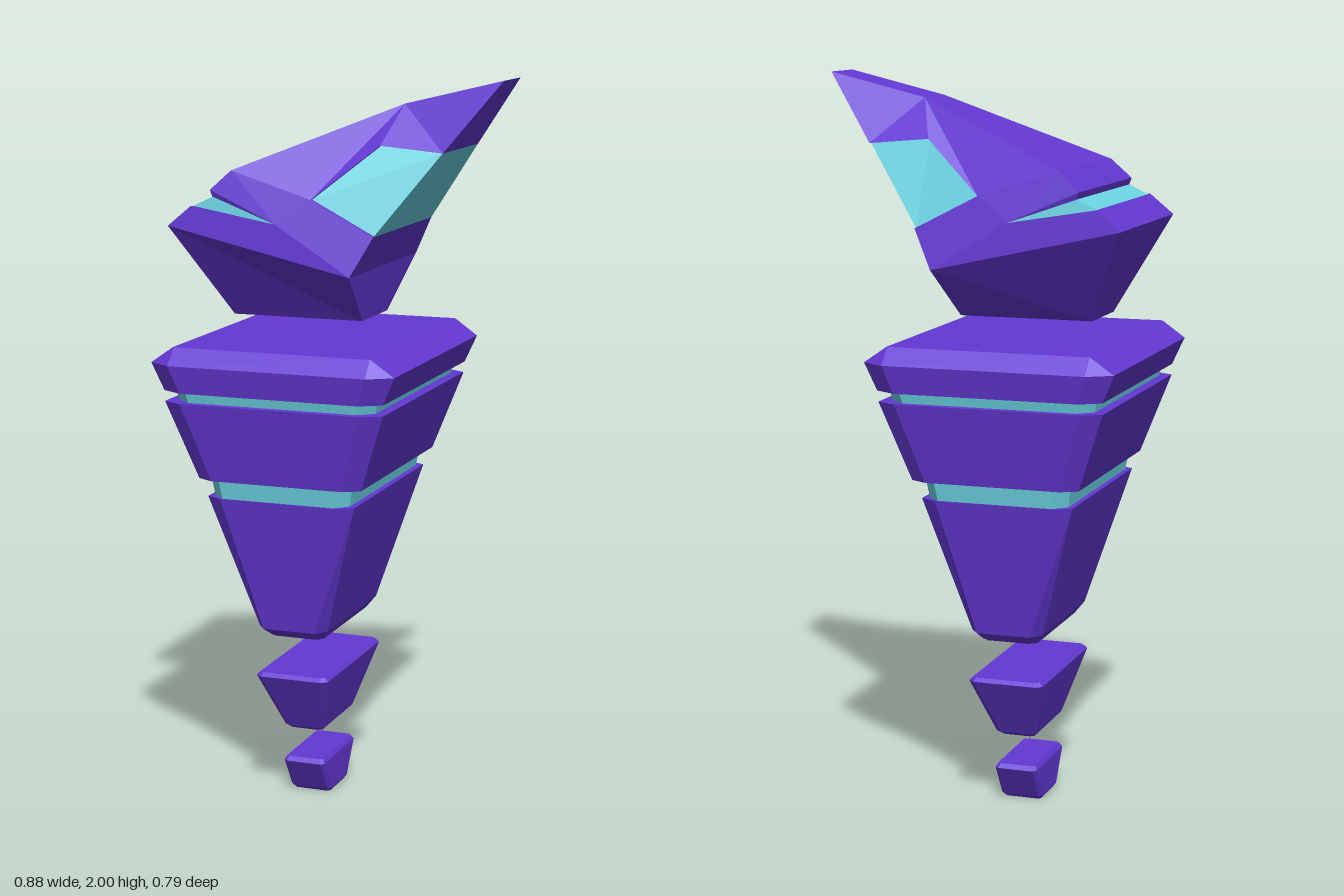
import * as THREE from 'three';

const purple = new THREE.MeshStandardMaterial({ color: 0x6438d4 });
purple.name = 'purple armour';
const teal = new THREE.MeshStandardMaterial({ color: 0x6cd6e4 });
teal.name = 'teal glow';

// Flat-shaded mesh from convex polygons given as point loops
function facets(name, material, polygons) {
  const pos = [];
  for (const p of polygons)
    for (let i = 1; i < p.length - 1; i++) pos.push(...p[0], ...p[i], ...p[i + 1]);
  const geometry = new THREE.BufferGeometry();
  geometry.setAttribute('position', new THREE.Float32BufferAttribute(pos, 3));
  geometry.computeVertexNormals();
  const mesh = new THREE.Mesh(geometry, material);
  mesh.name = name;
  return mesh;
}

// Rectangle with cut corners at height y
function ring([y, x0, x1, z, cx, cz]) {
  return [
    [x1 - cx, y, z], [x1, y, z - cz], [x1, y, cz - z], [x1 - cx, y, -z],
    [x0 + cx, y, -z], [x0, y, cz - z], [x0, y, z - cz], [x0 + cx, y, z],
  ];
}

// Closed solid through a stack of rings, lowest first
function loft(name, material, rows) {
  const rings = rows.map(ring);
  const faces = [[...rings[0]].reverse(), rings[rings.length - 1]];
  for (let k = 0; k < rings.length - 1; k++) {
    const a = rings[k], b = rings[k + 1];
    for (let i = 0; i < 8; i++) {
      const j = (i + 1) % 8;
      faces.push([a[i], a[j], b[j], b[i]]);
    }
  }
  return facets(name, material, faces);
}

const flip = ([x, y, z]) => [x, y, -z];
const mirrored = (faces) => [...faces, ...faces.map((f) => f.map(flip).reverse())];
// Strip spanning both sides between two profile points
const span = (p, q) => [p, flip(p), flip(q), q];

function createHead() {
  const head = new THREE.Group();
  head.name = 'head';

  // Jaw
  const jawFront = [-0.31, 1.355, 0.1], jawBack = [0.06, 1.355, 0.1];
  const chin = [-0.43, 1.61, 0.268], nape = [0.085, 1.495, 0.27];
  // Eye slit
  const lip = [-0.365, 1.665, 0.262], slitEnd = [-0.125, 1.625, 0.262];
  const eyeLow = [-0.365, 1.663, 0.245], eyeHigh = [-0.31, 1.69, 0.245];
  // Brow and swept-back crest
  const browLow = [-0.315, 1.708, 0.25], brow = [-0.26, 1.76, 0.235];
  const crown = [0.17, 1.935, 0.075], tip = [0.44, 2.0, 0.075];
  // Cheek opening
  const cheek = [[-0.035, 1.69, 0.235], [0.14, 1.6, 0.238], [0.3, 1.815, 0.152], [0.13, 1.83, 0.157]];
  const [c0, c1, c2, c3] = cheek;
  const inset = cheek.map(([x, y, z]) => [x, y, z - 0.012]);

  const side = [
    [chin, jawFront, jawBack, nape],
    [chin, nape, slitEnd], [chin, slitEnd, lip],
    [nape, c1, c0], [nape, c0, slitEnd],
    [slitEnd, c0, brow], [slitEnd, brow, browLow],
    [c0, c3, crown], [c0, crown, brow],
    [c3, c2, crown], [c2, tip, crown],
    [lip, slitEnd, eyeLow], [browLow, eyeHigh, slitEnd],
  ];
  // Rims of the cheek opening
  for (const [i, j] of [[0, 1], [2, 3], [3, 0]])
    side.push([cheek[i], cheek[j], inset[j], inset[i]]);

  head.add(facets('helmet', purple, [
    ...mirrored(side),
    span(jawFront, jawBack), span(jawBack, nape), span(nape, c1),
    span(c2, tip), span(tip, crown), span(crown, brow), span(brow, browLow),
    span(browLow, eyeHigh), span(lip, chin), span(chin, jawFront),
  ]));
  head.add(facets('visor', teal, [
    ...mirrored([[eyeLow, slitEnd, eyeHigh]]), span(eyeHigh, eyeLow),
  ]));
  head.add(facets('neckGlow', teal, [...mirrored([inset]), span(c1, c2)]));
  return head;
}

export function createModel() {
  const model = new THREE.Group();
  model.name = 'floatingGuardian';

  // Rows: height, min x, max x, half depth, corner cut in x, corner cut in z
  model.add(
    loft('tailTip', purple, [
      [0, -0.158, -0.052, 0.06, 0.008, 0.008],
      [0.01, -0.165, -0.045, 0.07, 0.01, 0.01],
      [0.1, -0.165, -0.045, 0.127, 0.01, 0.01],
      [0.112, -0.158, -0.052, 0.118, 0.008, 0.008],
    ]),
    loft('tailSegment', purple, [
      [0.195, -0.153, -0.057, 0.11, 0.01, 0.01],
      [0.205, -0.163, -0.047, 0.125, 0.015, 0.012],
      [0.37, -0.21, 0, 0.222, 0.018, 0.015],
      [0.38, -0.2, -0.01, 0.212, 0.012, 0.01],
    ]),
    loft('lowerBody', purple, [
      [0.48, -0.183, -0.027, 0.185, 0.02, 0.015],
      [0.51, -0.205, -0.005, 0.23, 0.025, 0.035],
      [0.885, -0.315, 0.105, 0.31, 0.045, 0.025],
    ]),
    loft('lowerGlowBand', teal, [
      [0.885, -0.3, 0.088, 0.305, 0.035, 0.035],
      [0.935, -0.307, 0.096, 0.313, 0.035, 0.035],
    ]),
    loft('middleBody', purple, [
      [0.935, -0.335, 0.128, 0.322, 0.045, 0.025],
      [1.15, -0.412, 0.205, 0.372, 0.055, 0.03],
    ]),
    loft('upperGlowBand', teal, [
      [1.15, -0.383, 0.175, 0.348, 0.04, 0.035],
      [1.18, -0.388, 0.182, 0.355, 0.04, 0.035],
    ]),
    loft('shoulderCap', purple, [
      [1.18, -0.412, 0.207, 0.38, 0.058, 0.035],
      [1.255, -0.445, 0.24, 0.396, 0.065, 0.042],
      [1.3, -0.38, 0.175, 0.36, 0.004, 0.004],
    ]),
    createHead(),
  );
  return model;
}
